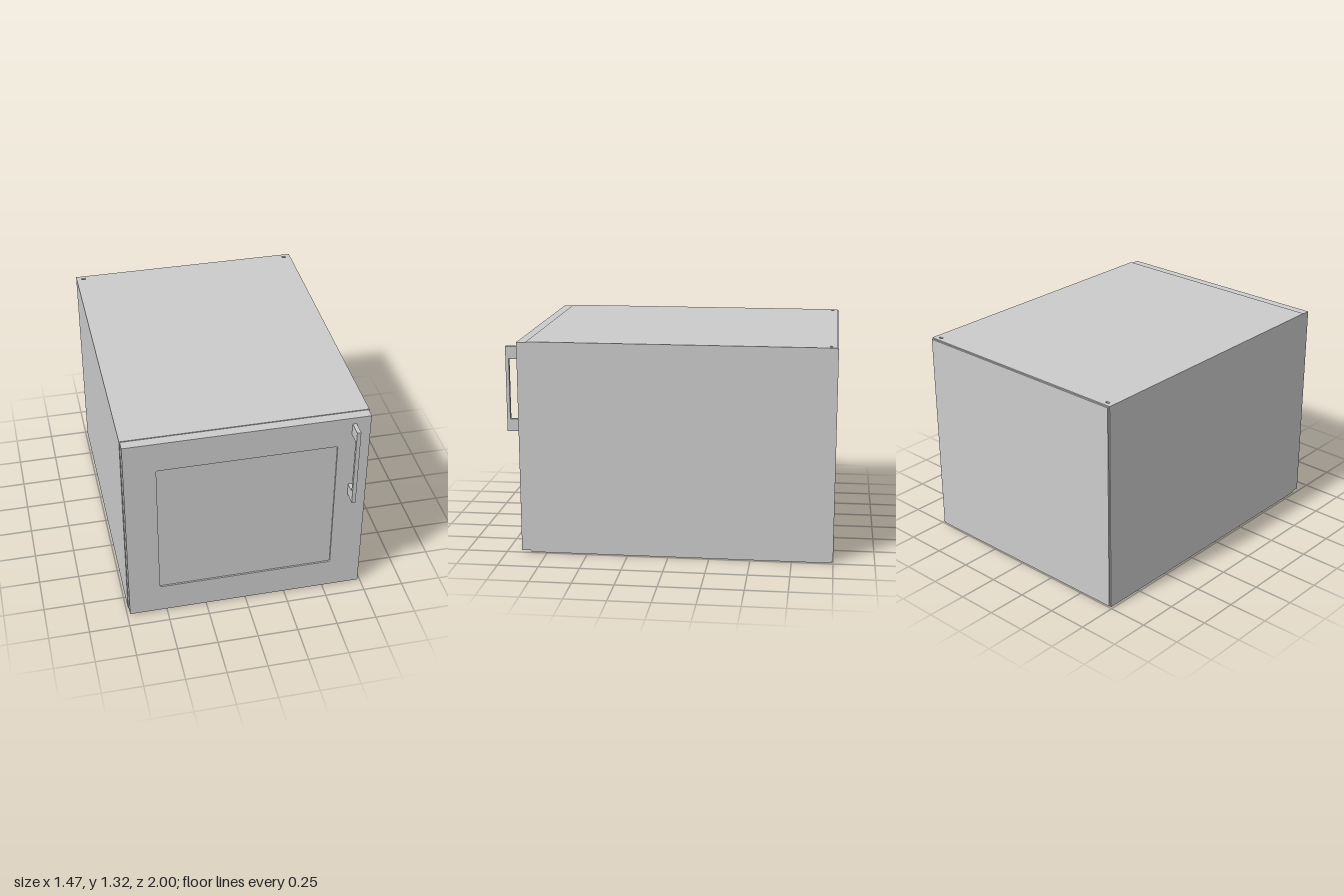
import * as THREE from 'three';

const mat = new THREE.MeshStandardMaterial({ color: 0xcccccc });

// Outline through points, as a shape or a hole
const trace = (pts, T = THREE.Shape) => new T(pts.map(p => new THREE.Vector2(...p)));
const rect = (x0, y0, x1, y1, T) => trace([[x0, y0], [x1, y0], [x1, y1], [x0, y1]], T);

// Rectangle with rounded corners
function roundRect(x0, y0, x1, y1, r) {
  const p = new THREE.Path();
  p.absarc(x1 - r, y1 - r, r, 0, Math.PI / 2);
  p.absarc(x0 + r, y1 - r, r, Math.PI / 2, Math.PI);
  p.absarc(x0 + r, y0 + r, r, Math.PI, Math.PI * 1.5);
  p.absarc(x1 - r, y0 + r, r, Math.PI * 1.5, Math.PI * 2);
  p.closePath();
  return p;
}

const extrude = (shape, depth) =>
  new THREE.ExtrudeGeometry(shape, { depth, bevelEnabled: false, curveSegments: 4 });

export function createModel() {
  const model = new THREE.Group();
  model.name = 'cabinet';
  const add = (name, geo) => {
    const mesh = new THREE.Mesh(geo, mat);
    mesh.name = name;
    model.add(mesh);
  };
  const box = (name, x0, x1, y0, y1, z0, z1) =>
    add(name, new THREE.BoxGeometry(x1 - x0, y1 - y0, z1 - z0)
      .translate((x0 + x1) / 2, (y0 + y1) / 2, (z0 + z1) / 2));

  const W = 0.737, H = 1.315, T = 0.02, back = -0.99, front = 0.85;

  // Top and bottom panels with small slots by the rear corners
  for (const [name, y] of [['bottomPanel', 0], ['topPanel', H - T]]) {
    const s = rect(-W, -front, W, -back);
    for (const x of [-0.692, 0.692])
      s.holes.push(rect(x - 0.013, 0.95, x + 0.013, 0.965, THREE.Path));
    add(name, extrude(s, T).rotateX(-Math.PI / 2).translate(0, y, 0));
  }

  // Side panels and the slightly smaller back panel
  box('leftPanel', W - T, W, T, H - T, back, front);
  box('rightPanel', -W, -W + T, T, H - T, back, front);
  box('backPanel', -W + 0.007, W - 0.007, 0.008, H - 0.007, -1, back);

  // Door frame with a rounded opening
  const frame = rect(-0.733, 0.008, 0.733, 1.31);
  frame.holes.push(roundRect(-0.54, 0.202, 0.54, 1.115, 0.01));
  add('doorFrame', extrude(frame, 0.06).translate(0, 0, front));

  // Window pane set back in the door
  box('windowPane', -0.55, 0.55, 0.19, 1.125, 0.86, 0.9);

  // Bracket-shaped handle, drawn as depth against height
  const handle = trace([
    [0.908, 0.742], [1, 0.742], [1, 1.268], [0.908, 1.268],
    [0.908, 1.192], [0.98, 1.192], [0.98, 0.818], [0.908, 0.818],
  ]);
  add('doorHandle', extrude(handle, 0.024).rotateY(-Math.PI / 2).translate(0.645, 0, 0));

  return model;
}
